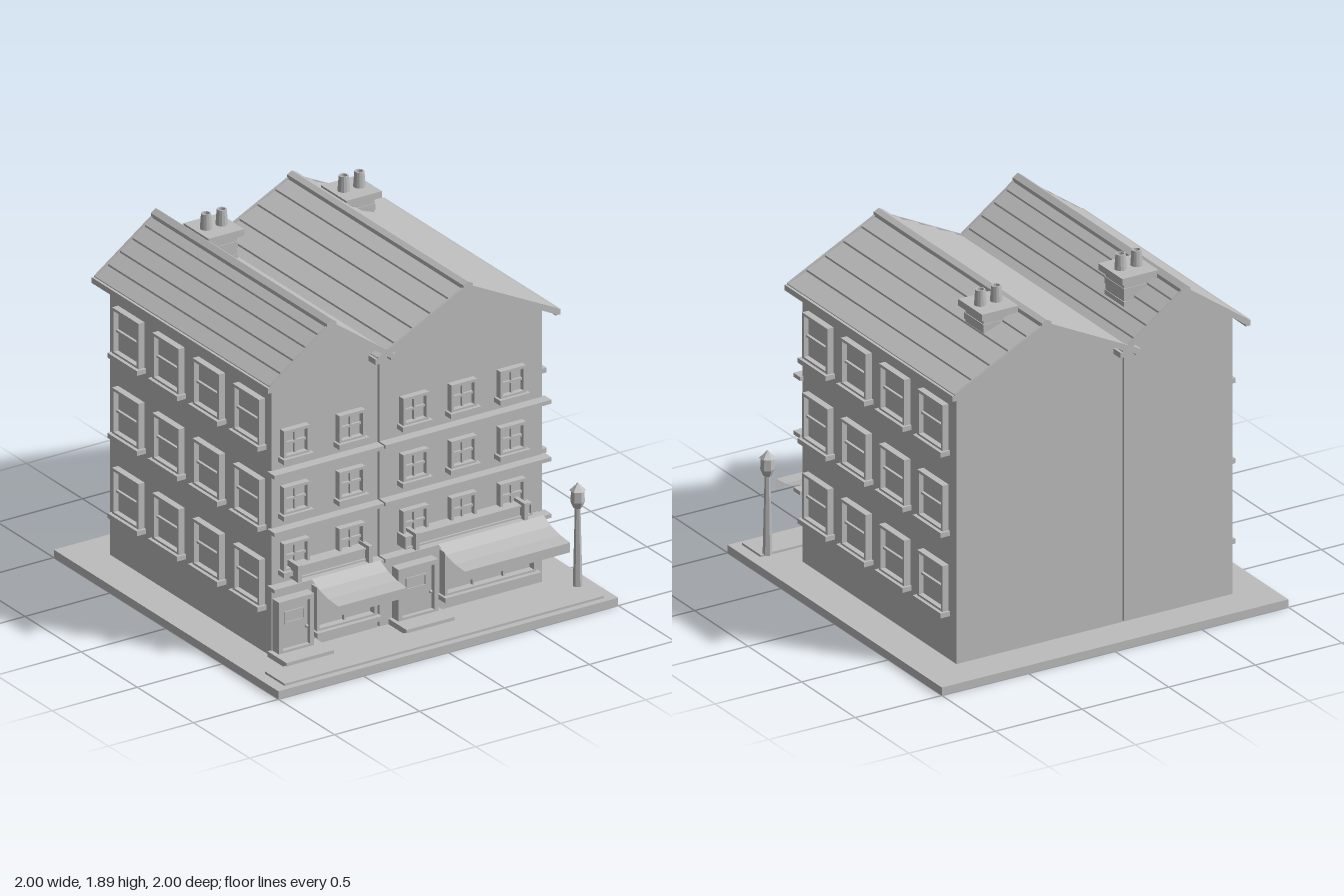
import * as THREE from 'three';

const grey = new THREE.MeshStandardMaterial({ color: 0xbcbcbc });
grey.name = 'plain grey';
const greySheet = new THREE.MeshStandardMaterial({ color: 0xbcbcbc, side: THREE.DoubleSide });
greySheet.name = 'plain grey sheet';

function add(parent, name, geometry, material = grey) {
  const mesh = new THREE.Mesh(geometry, material);
  mesh.name = name;
  parent.add(mesh);
  return mesh;
}

// Box given by its limits on each axis
function box(parent, name, x0, x1, y0, y1, z0, z1) {
  const mesh = add(parent, name, new THREE.BoxGeometry(x1 - x0, y1 - y0, z1 - z0));
  mesh.position.set((x0 + x1) / 2, (y0 + y1) / 2, (z0 + z1) / 2);
  return mesh;
}

// Outline in x and y, extruded from z0 to z1
function prism(parent, name, points, z0, z1) {
  const shape = new THREE.Shape(points.map(p => new THREE.Vector2(p[0], p[1])));
  const geometry = new THREE.ExtrudeGeometry(shape, { depth: z1 - z0, bevelEnabled: false });
  const mesh = add(parent, name, geometry);
  mesh.position.z = z0;
  return mesh;
}

// Hollow rectangular frame standing on y = 0, facing +z
function frame(parent, name, w, h, t, depth) {
  const shape = new THREE.Shape([[-w / 2, 0], [w / 2, 0], [w / 2, h], [-w / 2, h]].map(p => new THREE.Vector2(...p)));
  const a = w / 2 - t;
  shape.holes.push(new THREE.Path([[-a, t], [-a, h - t], [a, h - t], [a, t]].map(p => new THREE.Vector2(...p))));
  return add(parent, name, new THREE.ExtrudeGeometry(shape, { depth, bevelEnabled: false }));
}

// Window with a frame, pane, bars and sill; its origin is at the wall, at the foot of the frame
function makeWindow(name, w, h, uprights, crossbars) {
  const g = new THREE.Group();
  g.name = name;
  frame(g, 'windowFrame', w, h, 0.015, 0.036);
  box(g, 'windowPane', -w / 2 + 0.01, w / 2 - 0.01, 0.01, h - 0.01, -0.005, 0.008);
  for (let i = 1; i <= uprights; i++) {
    const x = -w / 2 + w * i / (uprights + 1);
    box(g, 'upright', x - 0.005, x + 0.005, 0.01, h - 0.01, 0, 0.022);
  }
  for (let i = 1; i <= crossbars; i++) {
    const y = h * i / (crossbars + 1);
    box(g, 'crossbar', -w / 2 + 0.01, w / 2 - 0.01, y - 0.006, y + 0.006, 0, 0.022);
  }
  box(g, 'windowSill', -w / 2 - 0.013, w / 2 + 0.013, -0.022, 0.004, -0.005, 0.054);
  return g;
}

// Lapped roof slope, barge boards and gutter on one side of the ridge
function roofSlope(parent, ridgeX, run, slope, side) {
  const top = 1.785, rows = 5, t = 0.024;
  const at = (d, lift) => [ridgeX + side * d, top - slope * d + lift];
  const points = [at(0, 0)];
  for (let i = 1; i <= rows; i++) {
    points.push(at(run * i / rows, 0.011));
    if (i < rows) points.push(at(run * i / rows, 0));
  }
  points.push(at(run, -t), at(0, -t));
  prism(parent, 'roofSlope', points, -0.855, 0.69);
  for (const z of [-0.867, 0.688]) {
    prism(parent, 'bargeBoard', [at(0, 0.01), at(run, 0.012), at(run, -t), at(0, -t)], z, z + 0.014);
  }
  const x = ridgeX + side * run, y = top - slope * run;
  box(parent, 'gutter', x - 0.014, x + 0.014, y - 0.024, y + 0.006, -0.867, 0.702);
  prism(parent, 'ridgeTile', [at(0, 0.025), at(0.028, 0.025), at(0.028, 0), at(0, 0)], -0.867, 0.702);
}

// Chimney with brick courses, a cap and two pots
function chimney(parent, x) {
  const g = new THREE.Group();
  g.name = 'chimney';
  g.position.set(x, 0, -0.535);
  parent.add(g);
  for (let i = 0; i < 6; i++) {
    const inset = i % 2 ? 0.004 : 0;
    box(g, 'brickCourse', -0.083 + inset, 0.083 - inset, 1.565 + i * 0.035, 1.6 + i * 0.035, -0.09 + inset, 0.09 - inset);
  }
  box(g, 'chimneyCap', -0.105, 0.105, 1.773, 1.808, -0.112, 0.112);
  for (const px of [-0.046, 0.046]) {
    const profile = [[0, 0], [0.031, 0], [0.025, 0.082], [0.018, 0.082], [0.018, 0.06], [0, 0.06]];
    const pot = add(g, 'chimneyPot', new THREE.LatheGeometry(profile.map(p => new THREE.Vector2(...p)), 12));
    pot.geometry = pot.geometry.toNonIndexed();
    pot.geometry.computeVertexNormals();
    pot.position.set(px, 1.808, 0);
  }
}

// Curved awning sheet with a hanging valance, swept along x
function awning(parent, x0, x1) {
  const path = [[0.637, 0.43], [0.69, 0.43], [0.76, 0.398], [0.84, 0.379], [0.928, 0.372], [0.928, 0.32]];
  const pos = [], index = [];
  path.forEach(([z, y], i) => {
    pos.push(x0, y, z, x1, y, z);
    if (i) index.push(2 * i - 2, 2 * i, 2 * i - 1, 2 * i - 1, 2 * i, 2 * i + 1);
  });
  const geometry = new THREE.BufferGeometry();
  geometry.setAttribute('position', new THREE.Float32BufferAttribute(pos, 3));
  geometry.setIndex(index);
  const flat = geometry.toNonIndexed();
  flat.computeVertexNormals();
  add(parent, 'awning', flat, greySheet);
}

// Door with surround, letter panel, knob and step
function door(parent, x0, x1, step0, step1) {
  const c = (x0 + x1) / 2;
  const surround = frame(parent, 'doorFrame', x1 - x0, 0.29, 0.024, 0.06);
  surround.position.set(c, 0.062, 0.635);
  box(parent, 'door', x0 + 0.02, x1 - 0.02, 0.07, 0.33, 0.63, 0.672);
  const panel = frame(parent, 'doorPanel', 0.12, 0.066, 0.008, 0.006);
  panel.position.set(c, 0.218, 0.672);
  const knob = add(parent, 'doorKnob', new THREE.SphereGeometry(0.009, 10, 8));
  knob.position.set(x1 - 0.035, 0.18, 0.68);
  box(parent, 'doorStep', step0, step1, 0.04, 0.073, 0.63, 0.8);
}

// Shop window with mullions and sill
function shopWindow(parent, x0, x1, panes) {
  const w = makeWindow('shopWindow', x1 - x0, 0.24, panes - 1, 0);
  w.position.set((x0 + x1) / 2, 0.132, 0.637);
  w.scale.z = 1.35;
  parent.add(w);
}

// Blank framed sign held by two brackets
function sign(parent, x0, x1, brackets) {
  box(parent, 'signBoard', x0, x1, 0.46, 0.527, 0.63, 0.7);
  const border = frame(parent, 'signBorder', x1 - x0, 0.067, 0.009, 0.012);
  border.position.set((x0 + x1) / 2, 0.46, 0.7);
  for (const x of brackets) box(parent, 'signBracket', x - 0.011, x + 0.011, 0.455, 0.545, 0.635, 0.738);
}

function house(o) {
  const g = new THREE.Group();
  g.name = o.name;
  const wallAt = x => 1.765 - o.slope * Math.abs(x - o.ridge);
  prism(g, 'walls', [[o.x0, 0.04], [o.x1, 0.04], [o.x1, wallAt(o.x1)], [o.ridge, 1.765], [o.x0, wallAt(o.x0)]], -0.8, 0.637);
  for (const side of [-1, 1]) roofSlope(g, o.ridge, o.run, o.slope, side);
  chimney(g, o.chimney);
  for (const y of [0.406, 0.712, 1.022]) box(g, 'stringCourse', o.band[0], o.band[1], y, y + 0.021, 0.63, 0.694);
  for (let row = 0; row < 3; row++) {
    for (const x of o.windows) {
      const w = makeWindow('frontWindow', 0.152, 0.15, 1, 1);
      w.position.set(x, 0.497 + row * 0.305, 0.637);
      g.add(w);
    }
    // Outer side wall
    for (let i = 0; i < 4; i++) {
      const w = makeWindow('sideWindow', 0.235, 0.25, 0, 1);
      w.position.set(o.outer > 0 ? o.x1 : o.x0, 0.3 + row * 0.433, 0.465 - i * 0.358);
      w.rotation.y = o.outer * Math.PI / 2;
      g.add(w);
    }
  }
  door(g, ...o.door);
  shopWindow(g, ...o.shop);
  awning(g, ...o.awning);
  sign(g, ...o.sign);
  return g;
}

function lamp() {
  const g = new THREE.Group();
  g.name = 'streetLamp';
  g.position.set(0.9, 0.05, 0.79);
  const lathe = (name, pts) => {
    const geometry = new THREE.LatheGeometry(pts.map(p => new THREE.Vector2(...p)), 6).toNonIndexed();
    geometry.computeVertexNormals();
    add(g, name, geometry);
  };
  lathe('lampPost', [[0, 0], [0.024, 0], [0.014, 0.43], [0, 0.43]]);
  lathe('lampLantern', [[0, 0.425], [0.022, 0.425], [0.036, 0.46], [0.032, 0.525], [0, 0.525]]);
  lathe('lampRoof', [[0, 0.52], [0.042, 0.52], [0.01, 0.55], [0, 0.562]]);
  return g;
}

export function createModel() {
  const model = new THREE.Group();
  model.name = 'shopHouses';
  box(model, 'base', -1, 1, 0, 0.043, -1, 1);
  box(model, 'pavement', -0.94, 0.94, 0.04, 0.055, 0.79, 0.965);
  model.add(house({
    name: 'narrowHouse', x0: -0.802, x1: -0.176, ridge: -0.489, run: 0.362, slope: 0.72, outer: -1,
    chimney: -0.365, band: [-0.82, -0.176], windows: [-0.674, -0.348],
    door: [-0.795, -0.588, -0.82, -0.54], shop: [-0.565, -0.213, 2], awning: [-0.6, -0.197],
    sign: [-0.71, -0.257, [-0.7, -0.282]],
  }));
  model.add(house({
    name: 'wideHouse', x0: -0.166, x1: 0.792, ridge: 0.313, run: 0.53, slope: 0.5, outer: 1,
    chimney: 0.445, band: [-0.166, 0.81], windows: [0.027, 0.31, 0.599],
    door: [-0.092, 0.143, -0.113, 0.168], shop: [0.187, 0.727, 3], awning: [0.145, 0.765],
    sign: [-0.062, 0.685, [-0.007, 0.632]],
  }));
  model.add(lamp());
  return model;
}
